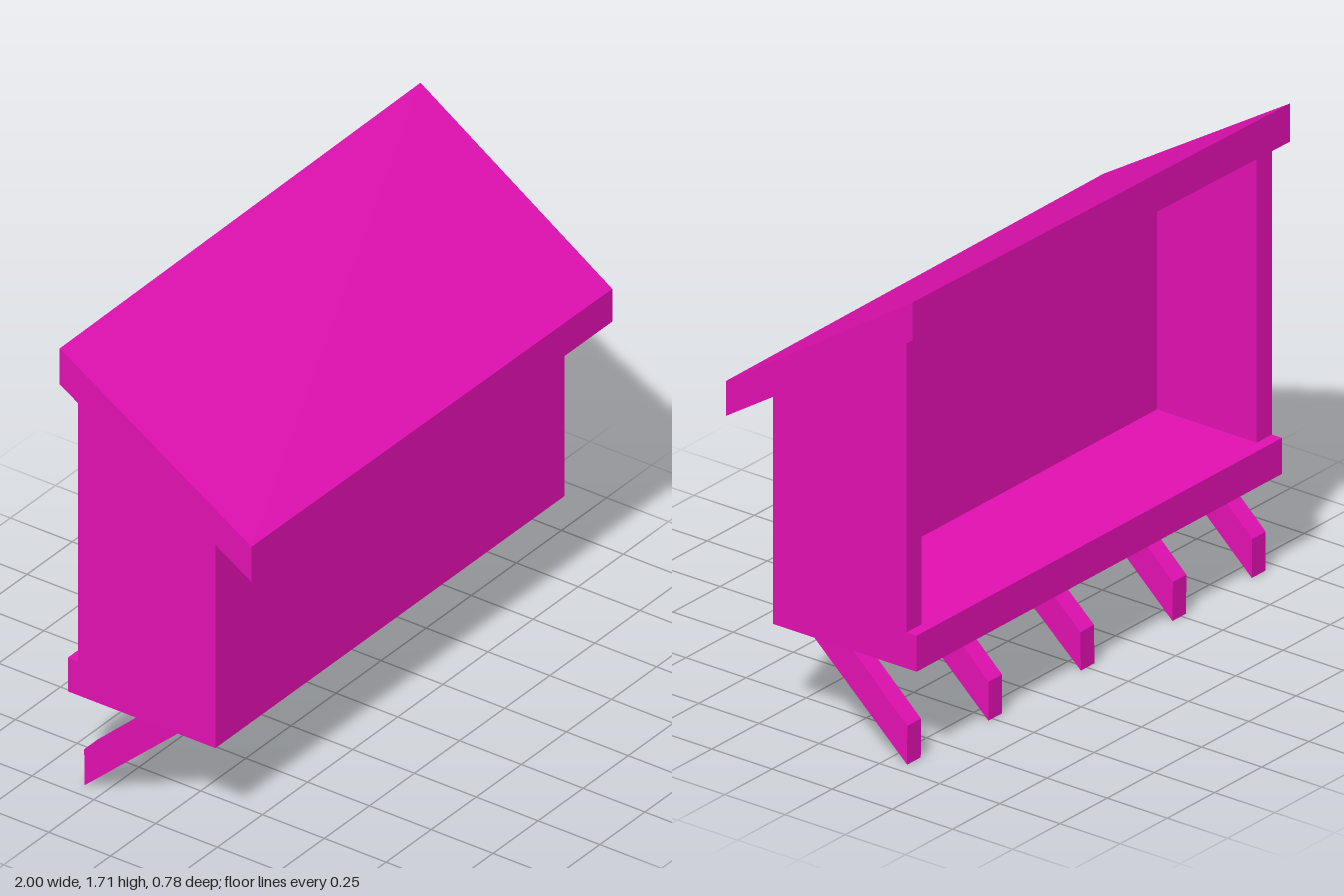
import * as THREE from 'three';

const material = new THREE.MeshStandardMaterial({ color: 0xe010b0, flatShading: true });

// Extrudes a side profile of [z, y] corners from x0 to x1.
function sidePanel(name, profile, x0, x1) {
  const shape = new THREE.Shape(profile.map(([z, y]) => new THREE.Vector2(-z, y)));
  const geometry = new THREE.ExtrudeGeometry(shape, { depth: x1 - x0, bevelEnabled: false });
  geometry.rotateY(Math.PI / 2).translate(x0, 0, 0);
  const mesh = new THREE.Mesh(geometry, material);
  mesh.name = name;
  return mesh;
}

// Moves every vertex of a geometry by a rule.
function warp(geometry, rule) {
  const p = geometry.attributes.position;
  const v = new THREE.Vector3();
  for (let i = 0; i < p.count; i++) {
    rule(v.fromBufferAttribute(p, i));
    p.setXYZ(i, v.x, v.y, v.z);
  }
  geometry.computeVertexNormals();
}

export function createModel() {
  const group = new THREE.Group();
  const left = 0.965, right = -0.97, wall = 0.08;
  const front = 0.22, inner = 0.08, back = -0.335;
  const floorBottom = 0.355, floorTop = 0.485;
  const roofLine = (z) => 1.08 + (0.388 - z) * 0.62;

  // Floor slab with a lip sticking out at the open back
  group.add(sidePanel('floor',
    [[front, floorBottom], [front, floorTop], [-0.377, floorTop], [-0.377, floorBottom]], right, left));

  // Thick front wall, cut to the roof slope
  group.add(sidePanel('frontWall',
    [[front, floorTop], [front, roofLine(front)], [inner, roofLine(inner)], [inner, floorTop]], right, left));

  // Side walls
  const sideProfile = [[inner, floorTop], [inner, roofLine(inner)], [back, roofLine(back)], [back, floorTop]];
  group.add(sidePanel('leftWall', sideProfile, left - wall, left));
  group.add(sidePanel('rightWall', sideProfile, right, right + wall));

  // Sloping roof, very slightly twisted along its length
  const roof = new THREE.Mesh(new THREE.BoxGeometry(2, 1, 0.776), material);
  roof.name = 'roof';
  warp(roof.geometry, (v) => {
    const s = Math.sign(v.x);
    if (v.z > 0) v.y = v.y > 0 ? 1.201 - 0.005 * s : 1.07;
    else v.y = v.y > 0 ? 1.695 + 0.01 * s : 1.557 + 0.01 * s;
  });
  group.add(roof);

  // Slanted legs: [x at the foot, sideways shift at the top]
  const legProfile = [[0.07, floorBottom], [-0.09, floorBottom], [-0.327, 0.14], [-0.327, 0]];
  const legs = [[-0.91, -0.005], [-0.49, -0.005], [-0.005, 0.006], [0.485, -0.002], [0.915, -0.002]];
  legs.forEach(([x, shift], i) => {
    const leg = sidePanel(`leg${i + 1}`, legProfile.slice().reverse(), x - 0.036, x + 0.036);
    warp(leg.geometry, (v) => { v.x += shift * v.y / floorBottom; });
    group.add(leg);
  });

  return group;
}
